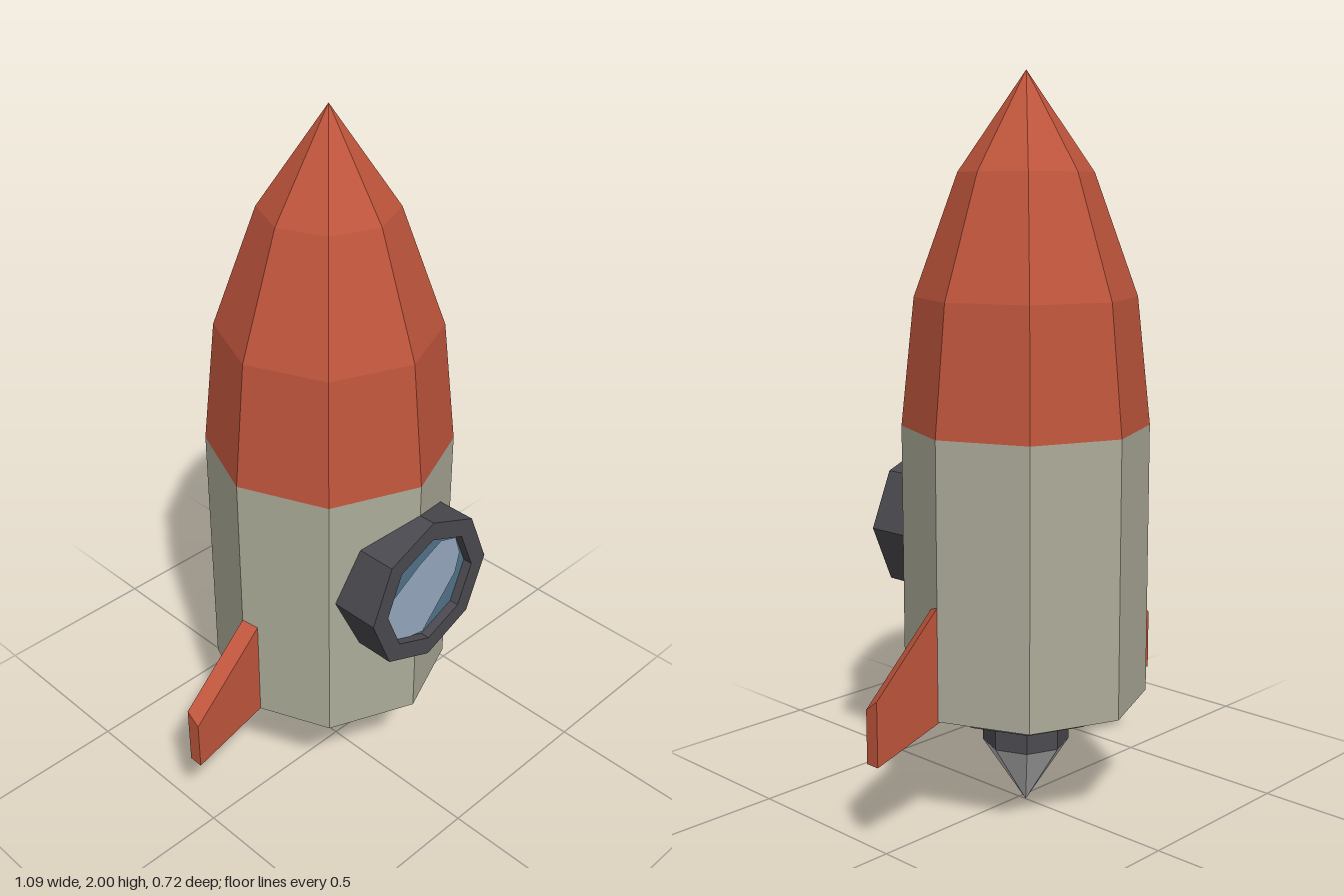
import * as THREE from 'three';

const AXIS_Z = -0.025;
const SIDES = 8;

function material(name, color) {
  const m = new THREE.MeshStandardMaterial({ color, flatShading: true });
  m.name = name;
  return m;
}

// Regular octagon with corners on the axes
function octagon(radius, Type = THREE.Shape) {
  const points = [];
  for (let i = 0; i < SIDES; i++) {
    const a = (i / SIDES) * Math.PI * 2;
    points.push(new THREE.Vector2(Math.cos(a) * radius, Math.sin(a) * radius));
  }
  return new Type(points);
}

const shapeOf = (pts) => new THREE.Shape(pts.map(([x, y]) => new THREE.Vector2(x, y)));

export function createModel() {
  const model = new THREE.Group();
  model.name = 'rocket';

  const red = material('red paint', 0xbf553c);
  const cream = material('pale hull', 0xadac9a);
  const brown = material('brown underside', 0x85652f);
  const dark = material('dark metal', 0x4a4a50);
  const silver = material('silver flame cone', 0xc2c2c2);
  const glass = material('window glass', 0x527389);
  const shine = material('window shine', 0x97a9c0);

  function add(name, geometry, mat, parent = model) {
    const mesh = new THREE.Mesh(geometry, mat);
    mesh.name = name;
    parent.add(mesh);
    return mesh;
  }

  // Eight-sided section of the rocket between two heights
  function section(name, mat, y0, r0, y1, r1) {
    const g = new THREE.CylinderGeometry(r1, r0, y1 - y0, SIDES, 1, true);
    g.translate(0, (y0 + y1) / 2, AXIS_Z);
    return add(name, g, mat);
  }

  // Hull and stepped nose
  section('hull', cream, 0.32, 0.335, 1.07, 0.335);
  const nose = [[0.335, 1.07], [0.298, 1.415], [0.18, 1.74], [0, 2]];
  for (let i = 0; i < nose.length - 1; i++) {
    section('nose' + (i + 1), red, nose[i][1], nose[i][0], nose[i + 1][1], nose[i + 1][0]);
  }

  // Underside plate
  const base = new THREE.CircleGeometry(0.335, SIDES);
  base.rotateX(Math.PI / 2);
  base.translate(0, 0.32, AXIS_Z);
  add('hullBottom', base, brown);

  // Engine: collar, taper, nozzle and pointed exhaust
  section('engineCollar', dark, 0.27, 0.213, 0.32, 0.213);
  section('engineTaper', brown, 0.235, 0.12, 0.27, 0.213);
  section('engineNozzle', dark, 0.18, 0.12, 0.235, 0.12);
  section('exhaustCone', silver, 0, 0, 0.18, 0.12);

  // Side fins: the top edge slopes down towards the front
  for (const side of [1, -1]) {
    const outline = [[0.25, 0.34], [0.545, 0.255], [0.545, 0.43], [0.25, 0.71]];
    const g = new THREE.ExtrudeGeometry(shapeOf(outline), { depth: 0.041, bevelEnabled: false });
    const p = g.attributes.position;
    for (let i = 0; i < p.count; i++) {
      if (p.getZ(i) > 0.02 && p.getY(i) > 0.4) p.setY(i, p.getY(i) - 0.03);
    }
    g.translate(0, 0, AXIS_Z);
    // A half turn about y puts the same plate on the other side
    if (side < 0) {
      for (let i = 0; i < p.count; i++) p.setX(i, -p.getX(i));
      // Restore outward faces after mirroring
      for (let i = 0; i < p.count; i += 3) {
        const a = new THREE.Vector3().fromBufferAttribute(p, i + 1);
        const b = new THREE.Vector3().fromBufferAttribute(p, i + 2);
        p.setXYZ(i + 1, b.x, b.y, b.z);
        p.setXYZ(i + 2, a.x, a.y, a.z);
      }
    }
    g.computeVertexNormals();
    add(side > 0 ? 'leftFin' : 'rightFin', g, red);
  }

  // Round window with a thick frame
  const porthole = new THREE.Group();
  porthole.name = 'window';
  porthole.position.set(0, 0.76, 0);
  model.add(porthole);

  const frame = octagon(0.22);
  frame.holes.push(octagon(0.165, THREE.Path));
  const frameGeo = new THREE.ExtrudeGeometry(frame, { depth: 0.157, bevelEnabled: false });
  frameGeo.translate(0, 0, 0.2);
  add('windowFrame', frameGeo, dark, porthole);

  const pane = new THREE.ShapeGeometry(octagon(0.165));
  pane.translate(0, 0, 0.33);
  add('windowPane', pane, glass, porthole);

  // Diagonal reflection on the pane
  const band = new THREE.ShapeGeometry(shapeOf([
    [-0.164, -0.003], [-0.117, -0.117], [-0.05, -0.144], [0.0, -0.155], [0.125, -0.02],
    [0.14, 0.04], [0.12, 0.1], [0.06, 0.12], [-0.02, 0.085],
  ]));
  band.translate(0, 0, 0.334);
  add('windowShine', band, shine, porthole);

  return model;
}
